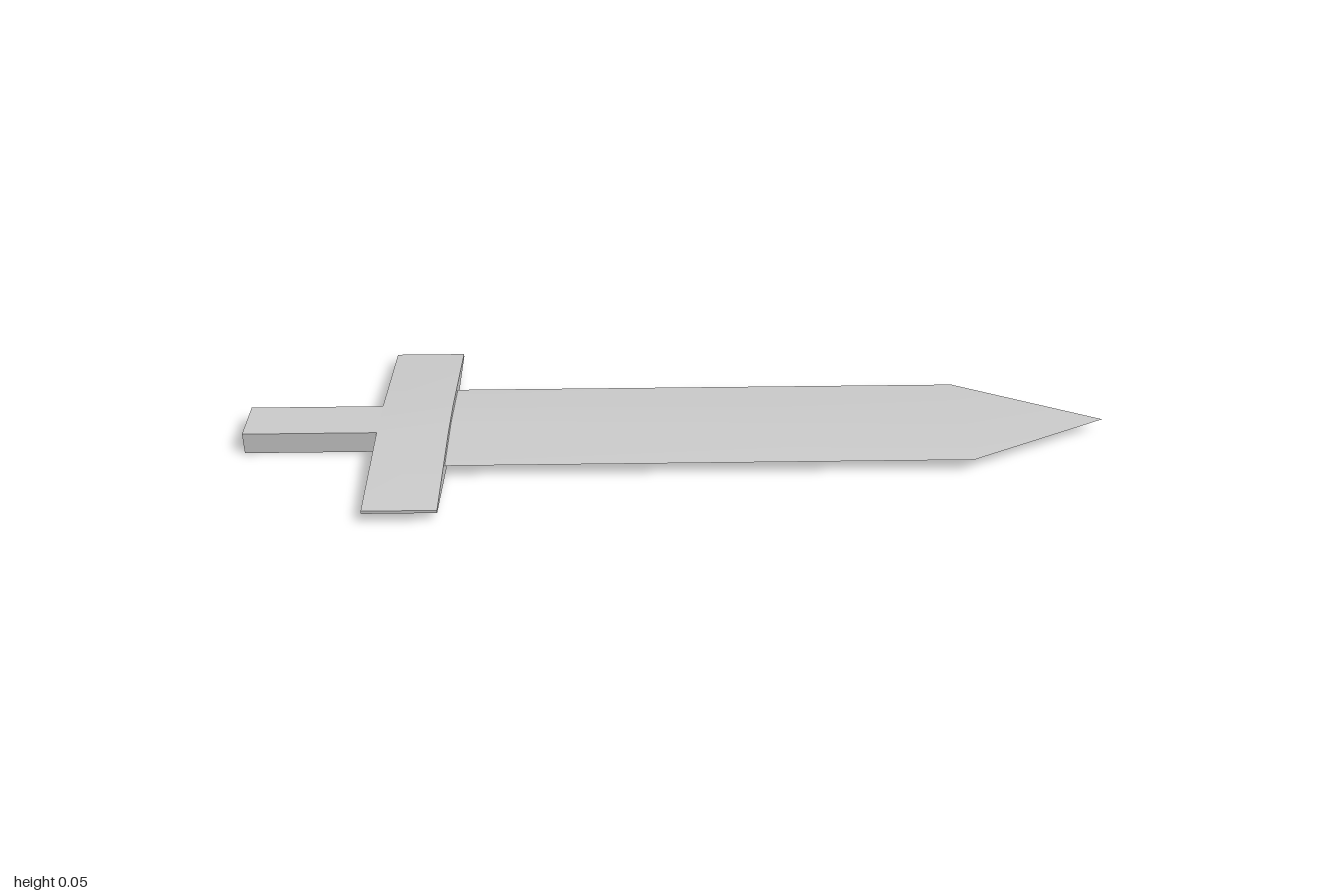
import * as THREE from 'three';
import { toCreasedNormals } from 'three/addons/utils/BufferGeometryUtils.js';

const material = new THREE.MeshStandardMaterial({ color: 0xcccccc });

function part(name, geometry) {
  const mesh = new THREE.Mesh(geometry, material);
  mesh.name = name;
  return mesh;
}

// Diamond section, full width to the shoulder, then narrowing to a point
function bladeGeometry() {
  const y = 0.03, halfHeight = 0.0115, halfWidth = 0.166;
  const positions = [], index = [0, 2, 1, 0, 3, 2];
  for (const x of [-0.6, 0.67]) {
    for (const [u, v] of [[1, 0], [0, 1], [-1, 0], [0, -1]]) {
      positions.push(x, y + u * halfHeight, v * halfWidth);
    }
  }
  positions.push(1, y, 0);
  for (let i = 0; i < 4; i++) {
    const j = (i + 1) % 4;
    index.push(i, j, j + 4, i, j + 4, i + 4); // side
    index.push(i + 4, j + 4, 8); // tip
  }
  const geometry = new THREE.BufferGeometry();
  geometry.setAttribute('position', new THREE.Float32BufferAttribute(positions, 3));
  geometry.setIndex(index);
  return toCreasedNormals(geometry, 0.5);
}

// Crossguard, thick in the middle and thin at both ends
function guardGeometry() {
  const outline = [
    [-0.34, 0.023], [-0.06, 0], [0.06, 0], [0.34, 0.023],
    [0.34, 0.03], [0.06, 0.052], [-0.06, 0.052], [-0.34, 0.03],
  ].map(([z, y]) => new THREE.Vector2(z, y));
  const geometry = new THREE.ExtrudeGeometry(new THREE.Shape(outline), { depth: 0.165, bevelEnabled: false });
  geometry.rotateY(Math.PI / 2).translate(-0.692, 0, 0);
  return toCreasedNormals(geometry, 0.5);
}

export function createModel() {
  const sword = new THREE.Group();
  sword.name = 'sword';

  const grip = new THREE.BoxGeometry(0.308, 0.052, 0.116).translate(-0.846, 0.026, 0);
  sword.add(
    part('blade', bladeGeometry()),
    part('crossguard', guardGeometry()),
    part('grip', grip),
  );
  return sword;
}
